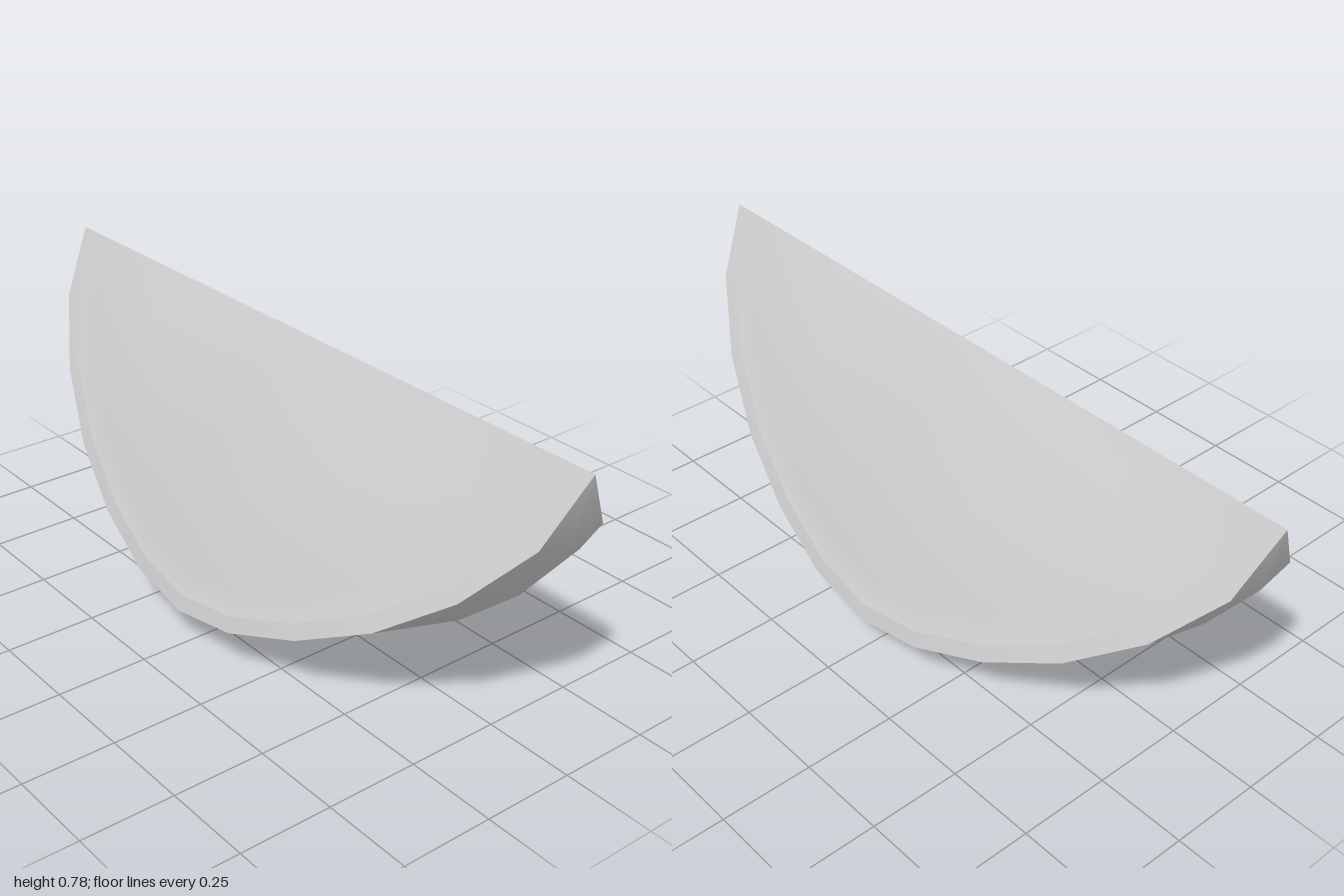
import * as THREE from 'three';

const RIDGE = 0.78; // height of the straight upper edge

// Half outline of the wedge: [z, distance below the ridge]
const half = [[0, 0.78], [0.2, 0.75], [0.41, 0.67], [0.62, 0.55], [0.81, 0.388], [0.95, 0.2], [1, 0]];
const outline = [...half.slice(1).reverse().map(([z, r]) => [-z, r]), ...half];

// Each row is [scale of the outline, angle from straight down in degrees]
function loft(name, rows, material) {
  const positions = [], index = [], n = outline.length;
  for (const [scale, degrees] of rows) {
    const a = THREE.MathUtils.degToRad(degrees);
    for (const [z, r] of outline) {
      positions.push(scale * r * Math.sin(a), RIDGE - scale * r * Math.cos(a), scale * z);
    }
  }
  for (let j = 0; j < rows.length - 1; j++) {
    for (let i = 0; i < n - 1; i++) {
      const a = j * n + i, b = a + n;
      index.push(a, b, a + 1, b, b + 1, a + 1);
    }
  }
  const geometry = new THREE.BufferGeometry();
  geometry.setAttribute('position', new THREE.Float32BufferAttribute(positions, 3));
  geometry.setIndex(index);
  geometry.computeVertexNormals();
  const mesh = new THREE.Mesh(geometry, material);
  mesh.name = name;
  return mesh;
}

const mirror = rows => rows.map(([s, a]) => [s, -a]).reverse();

export function createModel() {
  const group = new THREE.Group();
  group.name = 'fruitWedge';
  const material = new THREE.MeshStandardMaterial({ color: 0xcccccc });

  // Curved outer skin, smooth across the keel
  group.add(loft('rind', [[1, -30], [1, 0], [1, 30]], material));

  // Narrow cut edge of the rind, and the gently bulging flesh inside it
  const rim = [[1, 30], [0.947, 30.7]];
  const flesh = [[0.947, 30.7], [0.865, 30.6], [0.56, 36.6], [0, 0]];
  group.add(loft('leftRim', rim, material), loft('rightRim', mirror(rim), material));
  group.add(loft('leftFlesh', flesh, material), loft('rightFlesh', mirror(flesh), material));
  return group;
}
